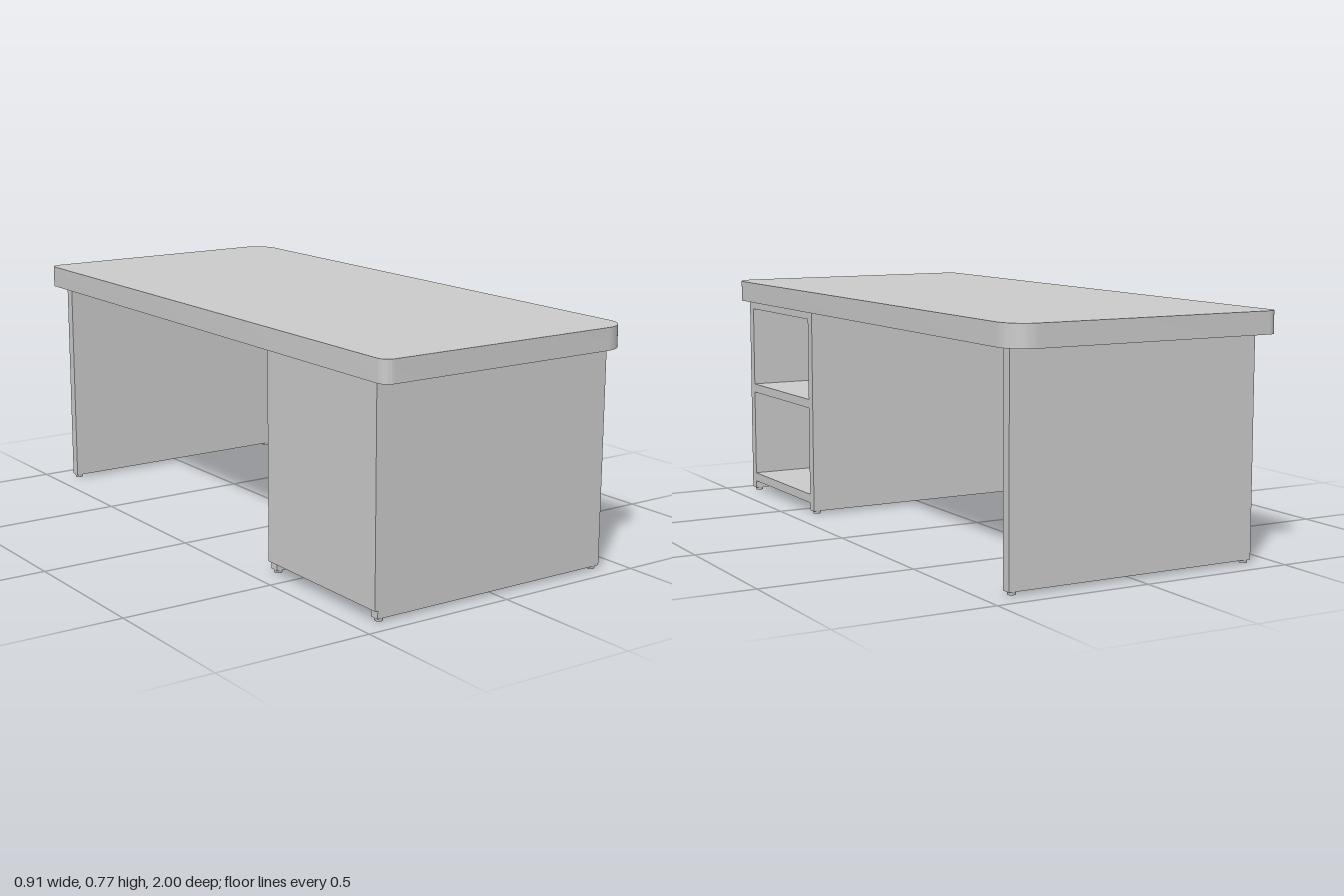
import * as THREE from 'three';
import { toCreasedNormals } from 'three/addons/utils/BufferGeometryUtils.js';

const material = new THREE.MeshStandardMaterial({ color: 0xcccccc });

// Box given by its min and max on each axis
function board(name, [x0, x1], [y0, y1], [z0, z1]) {
  const mesh = new THREE.Mesh(new THREE.BoxGeometry(x1 - x0, y1 - y0, z1 - z0), material);
  mesh.name = name;
  mesh.position.set((x0 + x1) / 2, (y0 + y1) / 2, (z0 + z1) / 2);
  return mesh;
}

// Worktop slab with wide corners on the +x edge and tight ones on the -x edge
function worktop() {
  const w = 0.455, d = 1, R = 0.085, r = 0.035;
  const s = new THREE.Shape();
  s.moveTo(-w + r, -d);
  s.absarc(w - R, -d + R, R, -Math.PI / 2, 0);
  s.absarc(w - R, d - R, R, 0, Math.PI / 2);
  s.absarc(-w + r, d - r, r, Math.PI / 2, Math.PI);
  s.absarc(-w + r, -d + r, r, Math.PI, Math.PI * 1.5);
  const geo = new THREE.ExtrudeGeometry(s, { depth: 0.07, bevelEnabled: false, curveSegments: 16 });
  geo.rotateX(-Math.PI / 2);
  const mesh = new THREE.Mesh(toCreasedNormals(geo, 0.6), material);
  mesh.name = 'worktop';
  mesh.position.y = 0.7;
  return mesh;
}

// Upright panel standing on two small round feet
function sidePanel(name, z) {
  const group = new THREE.Group();
  group.name = name;
  group.add(board('panel', [-0.427, 0.42], [0.01, 0.7], [z - 0.016, z + 0.016]));
  for (const x of [-0.412, 0.402]) {
    const foot = new THREE.Mesh(new THREE.CylinderGeometry(0.014, 0.012, 0.01, 20), material);
    foot.name = 'foot';
    foot.position.set(x, 0.005, z);
    group.add(foot);
  }
  return group;
}

export function createModel() {
  const desk = new THREE.Group();
  desk.name = 'desk';
  desk.add(worktop(), sidePanel('legPanel', -0.909));

  // Shelf cabinet, open towards +x
  const cabinet = new THREE.Group();
  cabinet.name = 'cabinet';
  cabinet.add(sidePanel('outerSide', 0.925), sidePanel('innerSide', 0.411));
  for (const [name, y0, y1] of [['bottomBoard', 0.035, 0.065], ['shelf', 0.365, 0.395], ['topBoard', 0.67, 0.7]]) {
    cabinet.add(board(name, [-0.427, 0.42], [y0, y1], [0.427, 0.909]));
  }
  cabinet.add(board('backPanel', [-0.437, -0.427], [0.035, 0.7], [0.395, 0.941]));
  desk.add(cabinet);
  return desk;
}
